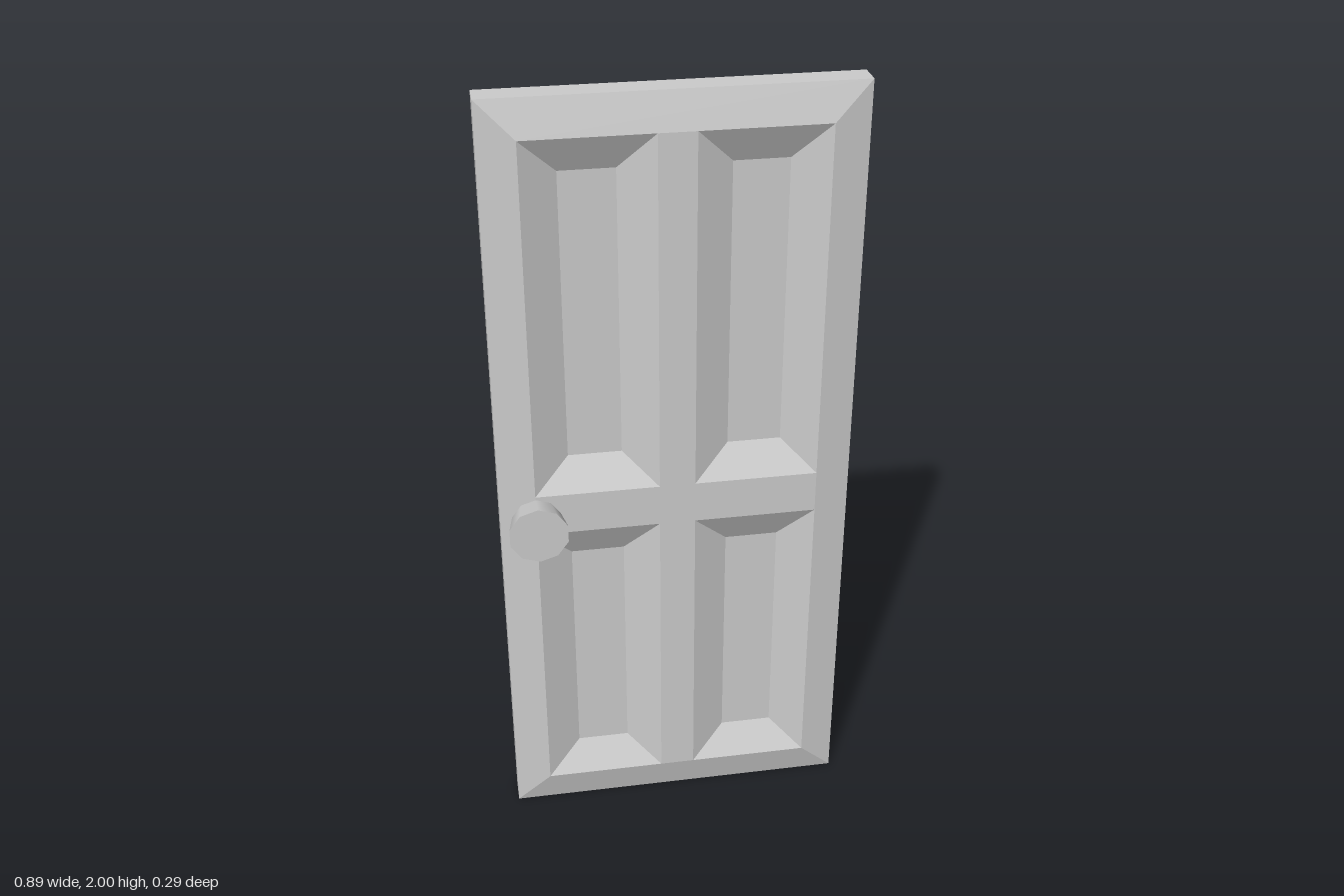
import * as THREE from 'three';

const material = new THREE.MeshStandardMaterial({ color: 0xcccccc });
const flat = new THREE.MeshStandardMaterial({ color: 0xcccccc, flatShading: true });

const EDGE_Z = 0.033, FACE_Z = 0.0555, FLOOR_Z = 0.013;
const OUTER = [-0.444, 0, 0.444, 2]; // left, bottom, right, top
const INNER = [-0.355, 0.09, 0.355, 1.91];
const PANELS = [];
for (const [bottom, top] of [[0.09, 0.89], [1.0, 1.91]])
  for (const [left, right] of [[-0.355, -0.045], [0.045, 0.355]])
    PANELS.push([left, bottom, right, top]);

const corners = ([l, b, r, t]) => [[l, b], [r, b], [r, t], [l, t]];
const inset = ([l, b, r, t], d) => [l + d, b + d, r - d, t - d];

// Four quads joining rectangle a at depth za to rectangle b at depth zb
function ring(a, za, b, zb) {
  const A = corners(a).map(p => [...p, za]);
  const B = corners(b).map(p => [...p, zb]);
  const pos = [];
  for (let i = 0; i < 4; i++) {
    const j = (i + 1) % 4;
    pos.push(...A[i], ...A[j], ...B[j], ...A[i], ...B[j], ...B[i]);
  }
  const g = new THREE.BufferGeometry();
  g.setAttribute('position', new THREE.Float32BufferAttribute(pos, 3));
  g.computeVertexNormals();
  return g;
}

function add(parent, name, geometry, mat = flat) {
  const mesh = new THREE.Mesh(geometry, mat);
  mesh.name = name;
  parent.add(mesh);
  return mesh;
}

// One face of the door with its recessed panels and knob
function doorSide(name, knobX) {
  const side = new THREE.Group();
  side.name = name;
  add(side, 'bevel', ring(OUTER, EDGE_Z, INNER, FACE_Z));

  // Rails and stiles: the cross and thin frame between the panels
  const cross = [
    [-0.045, 0.09, 0.045, 1.91],
    [-0.355, 0.89, -0.045, 1.0],
    [0.045, 0.89, 0.355, 1.0],
  ];
  for (const [l, b, r, t] of cross) {
    const rail = add(side, 'rail', new THREE.PlaneGeometry(r - l, t - b));
    rail.position.set((l + r) / 2, (b + t) / 2, FACE_Z);
  }

  // Panels slope down to a flat floor
  for (const p of PANELS) {
    const f = inset(p, 0.088);
    add(side, 'panelSlope', ring(p, FACE_Z, f, FLOOR_Z));
    const floor = add(side, 'panelFloor', new THREE.PlaneGeometry(f[2] - f[0], f[3] - f[1]));
    floor.position.set((f[0] + f[2]) / 2, (f[1] + f[3]) / 2, FLOOR_Z);
  }

  // Ten-sided knob flaring outwards on a short stem
  const knob = new THREE.Group();
  knob.name = 'knob';
  knob.position.set(knobX, 0.945, 0);
  const stem = add(knob, 'knobStem', new THREE.CylinderGeometry(0.043, 0.043, 0.07, 10).rotateX(Math.PI / 2), material);
  stem.position.z = 0.047;
  const handle = add(knob, 'knobHandle', new THREE.CylinderGeometry(0.075, 0.063, 0.065, 10).rotateX(Math.PI / 2), material);
  handle.position.z = 0.1125;
  side.add(knob);
  return side;
}

export function createModel() {
  const door = new THREE.Group();
  door.name = 'door';
  add(door, 'doorEdge', ring(OUTER, -EDGE_Z, OUTER, EDGE_Z));
  door.add(doorSide('frontSide', -0.356));
  const back = doorSide('backSide', 0.356);
  back.rotation.y = Math.PI;
  door.add(back);
  return door;
}
